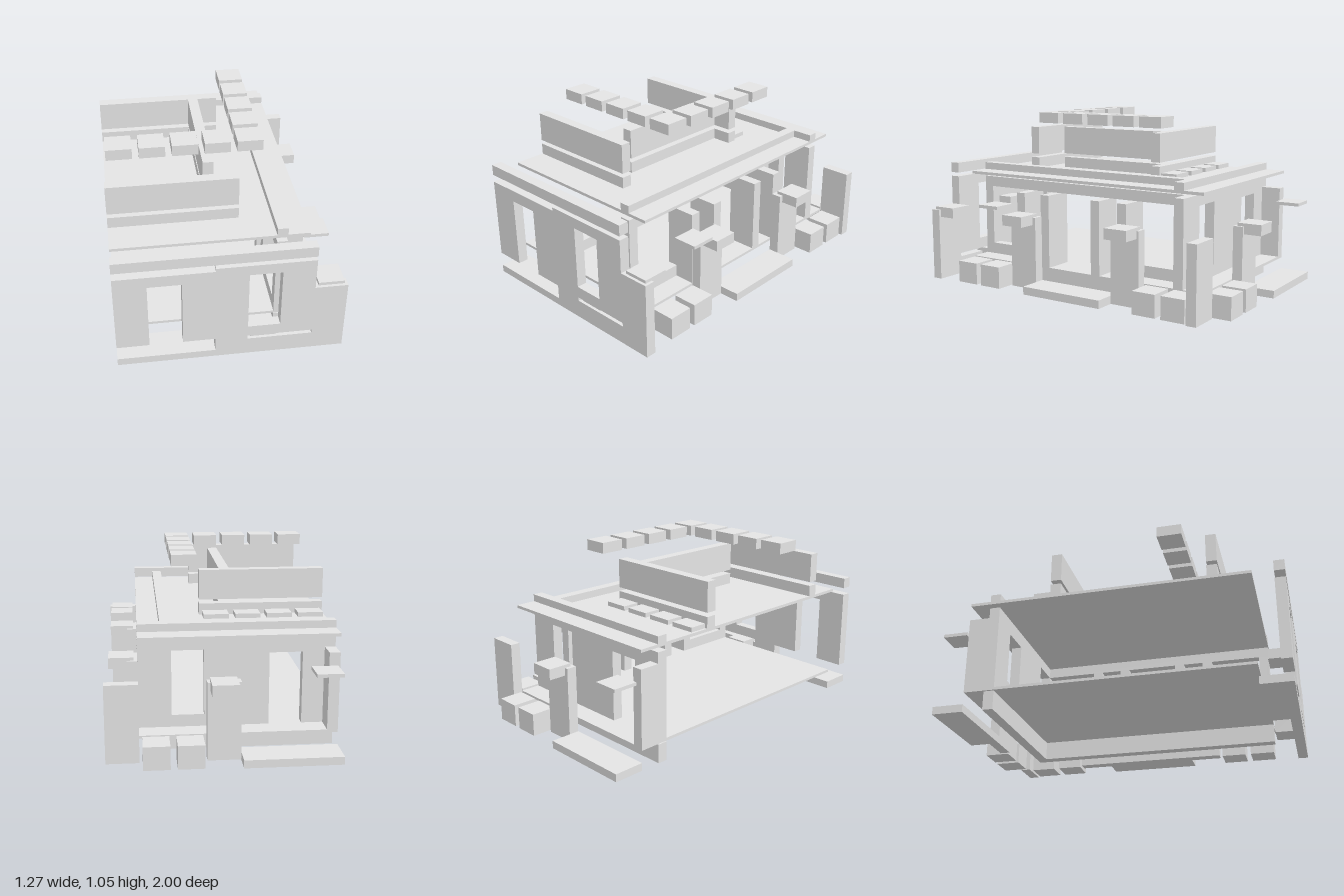
import * as THREE from 'three';

export function createModel() {
  const root = new THREE.Group();
  const stone = new THREE.MeshStandardMaterial({ color: 0xe4e4e4 });
  stone.name = 'pale grey stone';

  // Box between two corners, given as ranges per axis
  function box(name, [x0, x1], [y0, y1], [z0, z1]) {
    const m = new THREE.Mesh(new THREE.BoxGeometry(x1 - x0, y1 - y0, z1 - z0), stone);
    m.position.set((x0 + x1) / 2, (y0 + y1) / 2, (z0 + z1) / 2);
    m.name = name;
    root.add(m);
  }

  // Upright wall plate along x: outline points, rectangular holes [x0, x1, y0, y1]
  function plate(name, outline, holes, z, depth) {
    const shape = new THREE.Shape(outline.map(([x, y]) => new THREE.Vector2(x, y)));
    for (const [a, b, c, d] of holes) {
      shape.holes.push(new THREE.Path([[a, c], [a, d], [b, d], [b, c]].map(([x, y]) => new THREE.Vector2(x, y))));
    }
    const m = new THREE.Mesh(new THREE.ExtrudeGeometry(shape, { depth, bevelEnabled: false }), stone);
    m.position.z = z;
    m.name = name;
    root.add(m);
  }

  const L = -0.636, R = 0.453;
  const windowHole = [0.09, 0.27, 0.2, 0.57];

  // Foundation beams under a thin floor, and the steps
  box('sideFoundation', [0.27, 0.33], [0, 0.11], [-0.7, 0.82]);
  box('backFoundation', [L, 0.27], [0, 0.11], [-0.7, -0.64]);
  box('floor', [L, R], [0.115, 0.131], [-0.82, 0.82]);
  box('frontStep', [L, -0.09], [0, 0.045], [0.82, 1]);
  box('backStep', [L, -0.095], [0, 0.045], [-1, -0.82]);
  box('sideStep', [R, 0.635], [0, 0.048], [-0.27, 0.27]);

  // Front wall: stepped outline, with doorway, window and planter slot
  plate('frontWall', [
    [-0.09, 0], [0.635, 0], [0.635, 0.44], [R, 0.44], [R, 0.633], [-0.09, 0.633],
    [-0.09, 0.613], [L, 0.613], [L, 0.131], [-0.455, 0.131], [-0.455, 0.545],
    [-0.27, 0.545], [-0.27, 0.131], [-0.09, 0.131],
  ], [[...windowHole], [0.09, 0.452, 0.109, 0.131]], 0.94, 0.06);

  // Back wall, with the same doorway and window
  plate('backWall', [
    [-0.27, 0.131], [R, 0.131], [R, 0.633], [L, 0.633], [L, 0.131],
    [-0.455, 0.131], [-0.455, 0.545], [-0.27, 0.545],
  ], [windowHole], -0.7, 0.06);
  box('backReturnWall', [L, -0.576], [0.131, 0.57], [-0.82, -0.7]);

  // Right side wall: lintel, sills, end leg and short cross walls
  box('sideLintel', [0.27, 0.33], [0.57, 0.633], [-0.64, 0.82]);
  box('sideEndLeg', [0.27, 0.33], [0.131, 0.57], [0.76, 0.82]);
  box('sideSill', [0.27, 0.33], [0.131, 0.2], [0.455, 0.76]);
  box('sideSill', [0.27, 0.33], [0.131, 0.2], [-0.64, -0.335]);
  for (const z of [0.397, 0.215, -0.15, -0.333]) {
    box('crossWall', [0.27, R], [0.131, 0.57], [z, z + 0.06]);
  }

  // Outer piers
  for (const z of [0.27, -0.455]) box('sidePier', [R, 0.514], [0, 0.44], [z, z + 0.185]);
  box('backPier', [-0.095, 0.088], [0, 0.44], [-0.88, -0.82]);
  box('cornerPier', [R, 0.635], [0, 0.44], [-0.88, -0.82]);

  // Square blocks: low planters, pier caps and thin shelves
  const S = 0.145;
  const block = (name, x, z, y) => box(name, [x, x + S], y, [z, z + S]);
  const low = [0, 0.132], cap = [0.395, 0.458], shelf = [0.484, 0.503];
  for (const z of [-0.803, -0.622, 0.472, 0.652]) block('planter', 0.474, z, low);
  for (const x of [0.108, 0.291]) block('planter', x, -0.984, low);
  block('planter', 0.108, 0.838, low);
  for (const z of [-0.44, 0.29, 0.838]) block('pierCap', 0.474, z, cap);
  for (const z of [-0.984, 0.838]) block('pierCap', -0.073, z, cap);
  block('shelf', 0.474, 0.474, shelf);
  block('shelf', -0.62, -0.984, shelf);

  // Roof slab and its raised edges
  box('roof', [L, R], [0.66, 0.677], [-0.82, 0.82]);
  box('frontRoofBeam', [L, R], [0.657, 0.72], [0.94, 1]);
  box('sideRoofCurb', [0.27, 0.33], [0.677, 0.72], [-0.64, 0.82]);
  box('backRoofCurb', [L, R], [0.677, 0.72], [-0.7, -0.64]);

  // Upper walls, each raised over a kerb standing on the roof
  for (const [name, y] of [['upperKerb', [0.677, 0.743]], ['upperWall', [0.767, 0.94]]]) {
    box(name, [L, 0.088], y, [0.573, 0.633]);
    box(name, [L, 0.088], y, [-0.335, -0.273]);
    box(name, [-0.09, -0.03], y, [-0.273, 0.455]);
  }

  // Battlements: a row along the front, a column down the side, a low row at the back
  for (let i = 0; i < 5; i++) {
    const x = -0.62 + i * 0.182;
    block('battlement', x, 0.29, [0.984, 1.048]);
    if (i < 4) {
      block('lowBattlement', x, -0.44, [0.677, 0.703]);
      block('battlement', 0.108, -0.438 + i * 0.182, [0.984, 1.048]);
    }
  }

  return root;
}
